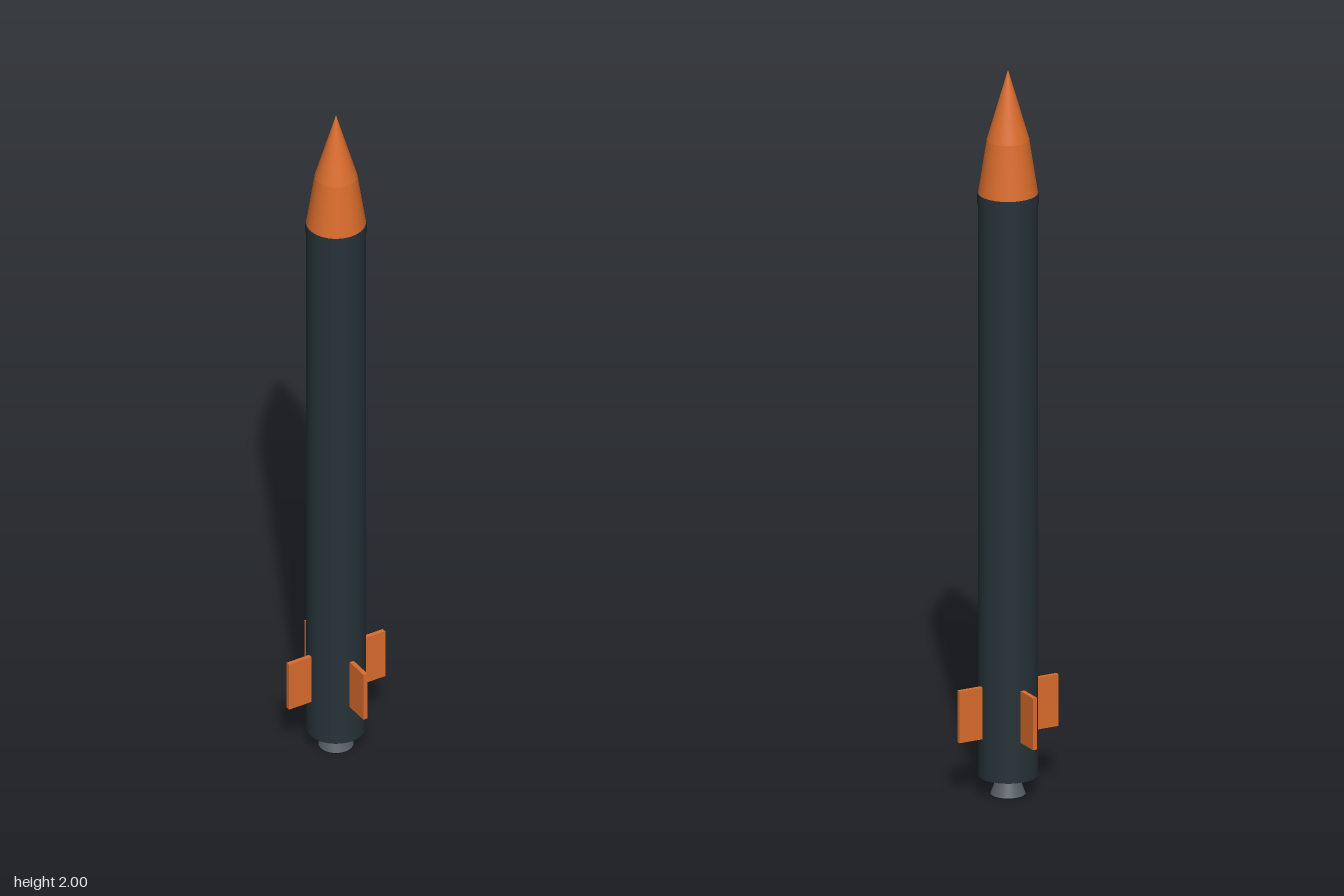
import * as THREE from 'three';

const mat = (name, color) => {
  const m = new THREE.MeshStandardMaterial({ color });
  m.name = name;
  return m;
};

export function createModel() {
  const rocket = new THREE.Group();
  rocket.name = 'rocket';
  const orange = mat('orange', 0xd96c2c);
  const slate = mat('dark slate', 0x263238);
  const grey = mat('nozzle grey', 0x566065);

  // Round section standing between two heights
  const section = (name, material, rBottom, rTop, y0, y1) => {
    const geo = rTop > 0
      ? new THREE.CylinderGeometry(rTop, rBottom, y1 - y0, 48)
      : new THREE.ConeGeometry(rBottom, y1 - y0, 48);
    const mesh = new THREE.Mesh(geo, material);
    mesh.name = name;
    mesh.position.y = (y0 + y1) / 2;
    rocket.add(mesh);
  };

  // Engine, body tube and collar
  section('nozzle', grey, 0.046, 0.026, 0, 0.055);
  section('body', slate, 0.079, 0.079, 0.052, 1.64);
  section('collar', slate, 0.0805, 0.0805, 1.63, 1.66);

  // Two-stage nose cone
  section('noseLower', orange, 0.0785, 0.056, 1.66, 1.807);
  section('noseTip', orange, 0.056, 0, 1.807, 2);

  // Four fins around the base
  for (let i = 0; i < 4; i++) {
    const fin = new THREE.Mesh(new THREE.BoxGeometry(0.077, 0.143, 0.012), orange);
    const a = i * Math.PI / 2;
    fin.name = 'fin';
    fin.position.set(Math.cos(a) * 0.109, 0.2345, -Math.sin(a) * 0.109);
    fin.rotation.y = a;
    rocket.add(fin);
  }
  return rocket;
}
